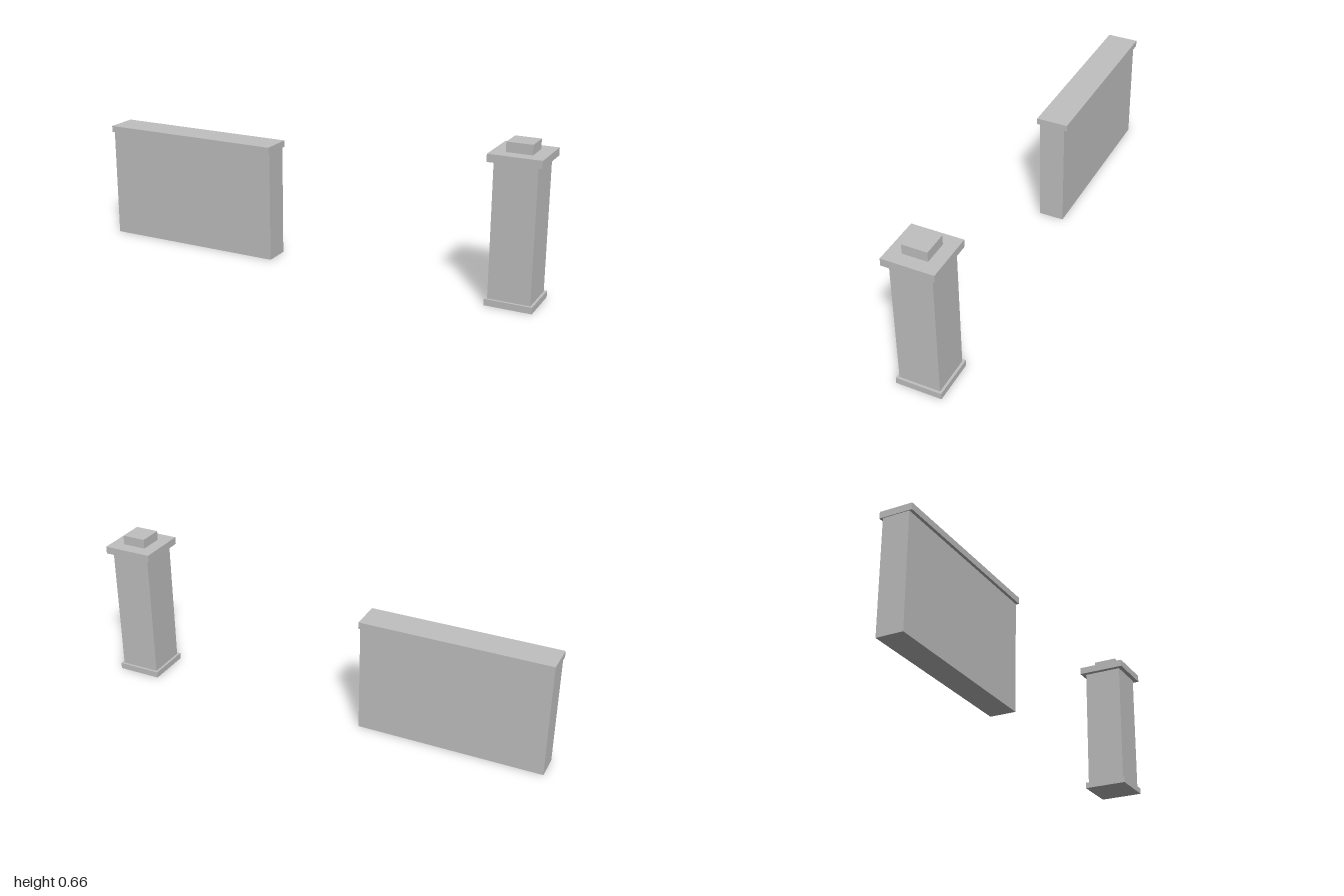
import * as THREE from 'three';

export function createModel() {
  const model = new THREE.Group();
  const stone = new THREE.MeshStandardMaterial({ color: 0xc0c0c0 });
  stone.name = 'paleGreyStone';

  // Box given by its width, depth and the heights of its bottom and top
  function block(parent, name, width, depth, bottom, top) {
    const mesh = new THREE.Mesh(new THREE.BoxGeometry(width, top - bottom, depth), stone);
    mesh.name = name;
    mesh.position.y = (bottom + top) / 2;
    parent.add(mesh);
  }

  // Low wall with an overhanging coping
  const wall = new THREE.Group();
  wall.name = 'wall';
  wall.position.set(-0.594, 0, -0.004);
  block(wall, 'wallBody', 0.806, 0.112, 0, 0.477);
  block(wall, 'wallCoping', 0.812, 0.138, 0.477, 0.505);
  model.add(wall);

  // Square pillar: plinth, shaft, cap slab and finial
  const pillar = new THREE.Group();
  pillar.name = 'pillar';
  pillar.position.set(0.892, 0, 0.001);
  block(pillar, 'pillarPlinth', 0.195, 0.195, 0, 0.027);
  block(pillar, 'pillarShaft', 0.174, 0.174, 0.027, 0.583);
  block(pillar, 'pillarCap', 0.216, 0.216, 0.583, 0.615);
  block(pillar, 'pillarFinial', 0.105, 0.105, 0.615, 0.656);
  model.add(pillar);

  return model;
}
